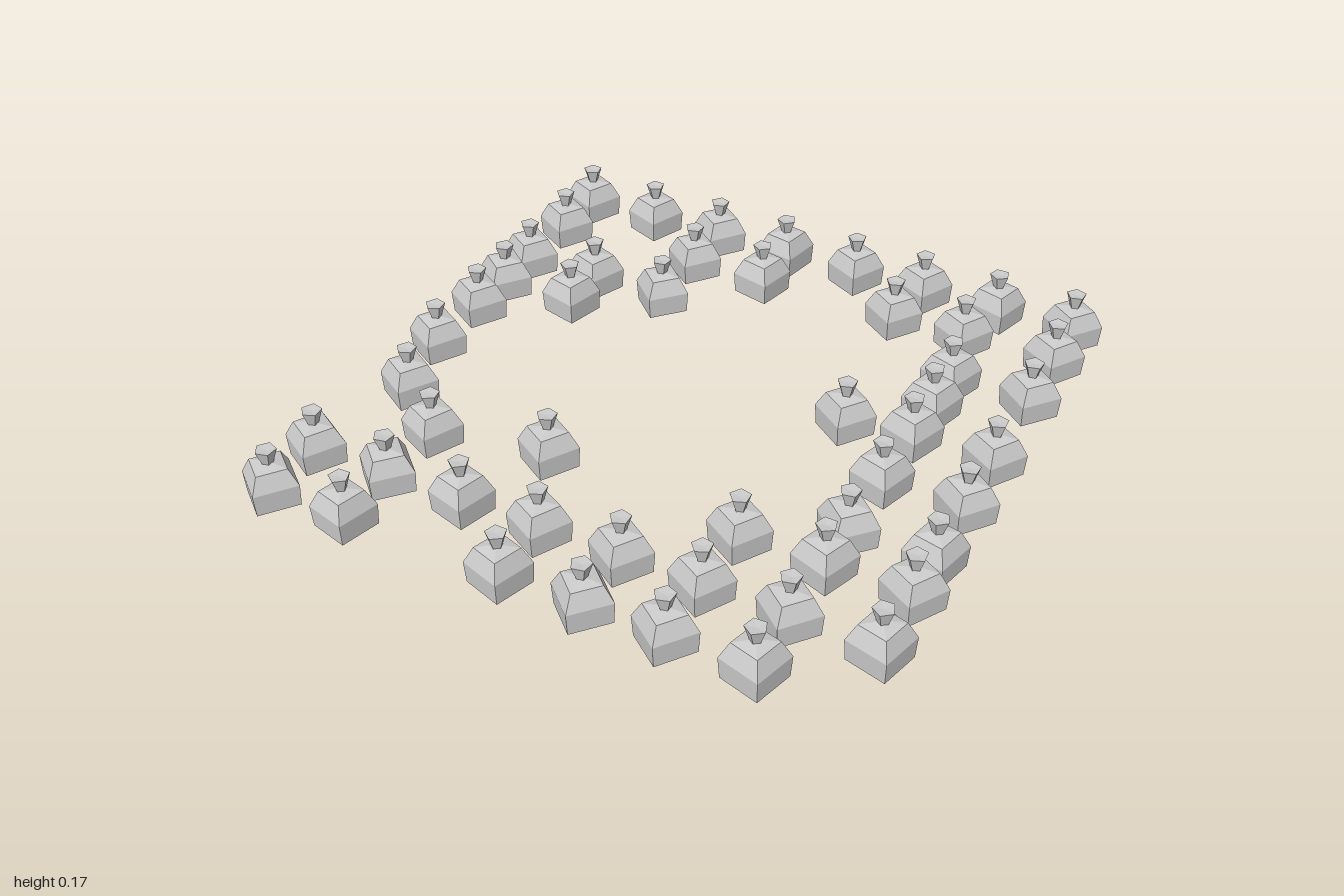
import * as THREE from 'three';

// rows of sacks: z, then pairs of x and turn in degrees
const ROWS = [
  [-0.91, [[-0.895, 25], [-0.64, 22], [-0.385, 38], [-0.13, 12], [0.13, 27], [0.375, 27], [0.63, 17], [0.885, 38]]],
  [-0.72, [[-0.895, 30], [-0.385, 38], [-0.13, 14], [0.345, 35], [0.585, 30], [0.885, 33]]],
  [-0.485, [[-0.895, 33], [-0.64, 22], [-0.385, 43], [0.63, 20], [0.885, 40]]],
  [-0.325, [[-0.895, 38], [-0.64, 15], [0.63, 17]]],
  [-0.16, [[-0.895, 31], [0.63, 20], [0.885, 33]]],
  [-0.14, [[0.425, 36]]],
  [0.075, [[-0.895, 30], [0.63, 18], [0.885, 38]]],
  [0.315, [[-0.835, 31], [0.63, 43], [0.885, 14]]],
  [0.405, [[-0.28, 31]]],
  [0.475, [[-0.64, 25], [0.375, 32], [0.63, 20], [0.885, 31]]],
  [0.7, [[-0.895, 30], [-0.64, 42], [-0.385, 16], [-0.13, 28], [0.13, 33], [0.375, 30], [0.63, 40], [0.885, 15]]],
  [0.905, [[-0.895, 38], [-0.64, 15], [-0.13, 18], [0.13, 42], [0.375, 37], [0.63, 16]]],
];

const lathe = (profile, sides, start) =>
  new THREE.LatheGeometry(profile.map(([r, y]) => new THREE.Vector2(r, y)), sides, start);

export function createModel() {
  const group = new THREE.Group();
  group.name = 'sackRing';
  const cloth = new THREE.MeshStandardMaterial({ color: 0xcccccc, flatShading: true });

  // four-sided bag with sloped shoulders
  const bodyGeo = lathe([[0, 0], [0.09, 0], [0.095, 0.07], [0.064, 0.122], [0, 0.133]], 4, Math.PI / 4);
  // gathered neck flaring to a five-sided mouth
  const neckGeo = lathe([[0.016, 0.12], [0.017, 0.13], [0.032, 0.175], [0, 0.172]], 5, 0.3);

  for (const [z, sacks] of ROWS) {
    for (const [x, turn] of sacks) {
      const sack = new THREE.Group();
      sack.name = 'sack';
      const body = new THREE.Mesh(bodyGeo, cloth);
      body.name = 'sackBody';
      const neck = new THREE.Mesh(neckGeo, cloth);
      neck.name = 'sackNeck';
      sack.add(body, neck);
      sack.position.set(x, 0, z);
      sack.rotation.y = -THREE.MathUtils.degToRad(turn);
      group.add(sack);
    }
  }
  return group;
}
